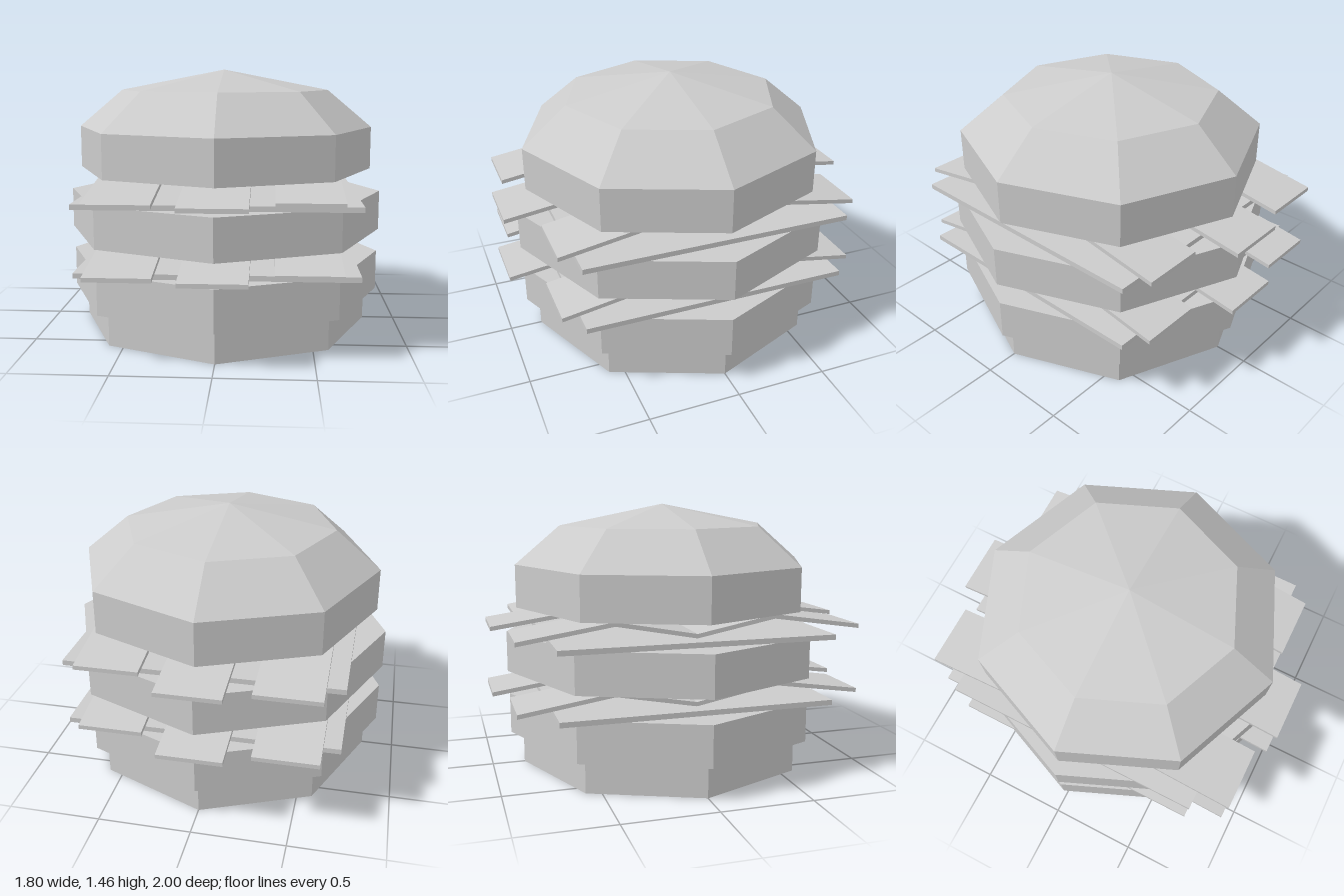
import * as THREE from 'three';

const material = new THREE.MeshStandardMaterial({ color: 0xcccccc, flatShading: true });

function add(parent, name, geometry, x = 0, y = 0, z = 0) {
  const mesh = new THREE.Mesh(geometry, material);
  mesh.name = name;
  mesh.position.set(x, y, z);
  parent.add(mesh);
}

// Eight-sided layer turned from a bottom-to-top profile, corners on the axes
function octagon(...profile) {
  return new THREE.LatheGeometry(profile.map(([r, y]) => new THREE.Vector2(r, y)), 8);
}

function slab(radius, bottom, top) {
  return octagon([0, bottom], [radius, bottom], [radius, top], [0, top]);
}

// Folded strip: high at mid-half, low at the centre and the ends
function stripGeometry(halfLength, width) {
  const upper = [[-1, 0.03], [-0.465, 0.105], [0, 0.023], [0.465, 0.105], [1, 0.03]];
  const lower = upper.map(([z, y]) => [z, y - 0.023]).reverse();
  const shape = new THREE.Shape(
    [...upper, ...lower].map(([z, y]) => new THREE.Vector2(z * halfLength, y)));
  return new THREE.ExtrudeGeometry(shape, { depth: width, bevelEnabled: false })
    .translate(0, 0, -width / 2)
    .rotateY(-Math.PI / 2);
}

export function createModel() {
  const burger = new THREE.Group();
  burger.name = 'burger';

  add(burger, 'bottomBun', slab(0.822, 0, 0.18));

  // Two fillings: patty, cheese slice and three folded strips
  const fillings = [
    { name: 'lower', radius: 0.892, bottom: 0.18, top: 0.405, cheese: 1.46, strips: 0.432 },
    { name: 'upper', radius: 0.9, bottom: 0.535, top: 0.76, cheese: 1.47, strips: 0.79 },
  ];
  for (const f of fillings) {
    const filling = new THREE.Group();
    filling.name = f.name + 'Filling';
    burger.add(filling);
    add(filling, 'patty', slab(f.radius, f.bottom, f.top));
    add(filling, 'cheeseSlice', new THREE.BoxGeometry(f.cheese, 0.028, f.cheese), 0, f.top + 0.014, 0);
    for (const [x, halfLength] of [[-0.47, 0.922], [0, 1], [0.467, 0.83]]) {
      add(filling, 'baconStrip', stripGeometry(halfLength, 0.343), x, f.strips, 0);
    }
  }

  // Domed top bun
  add(burger, 'topBun', octagon([0, 0.892], [0.842, 0.892], [0.842, 1.13], [0.592, 1.34], [0, 1.455]));

  return burger;
}
